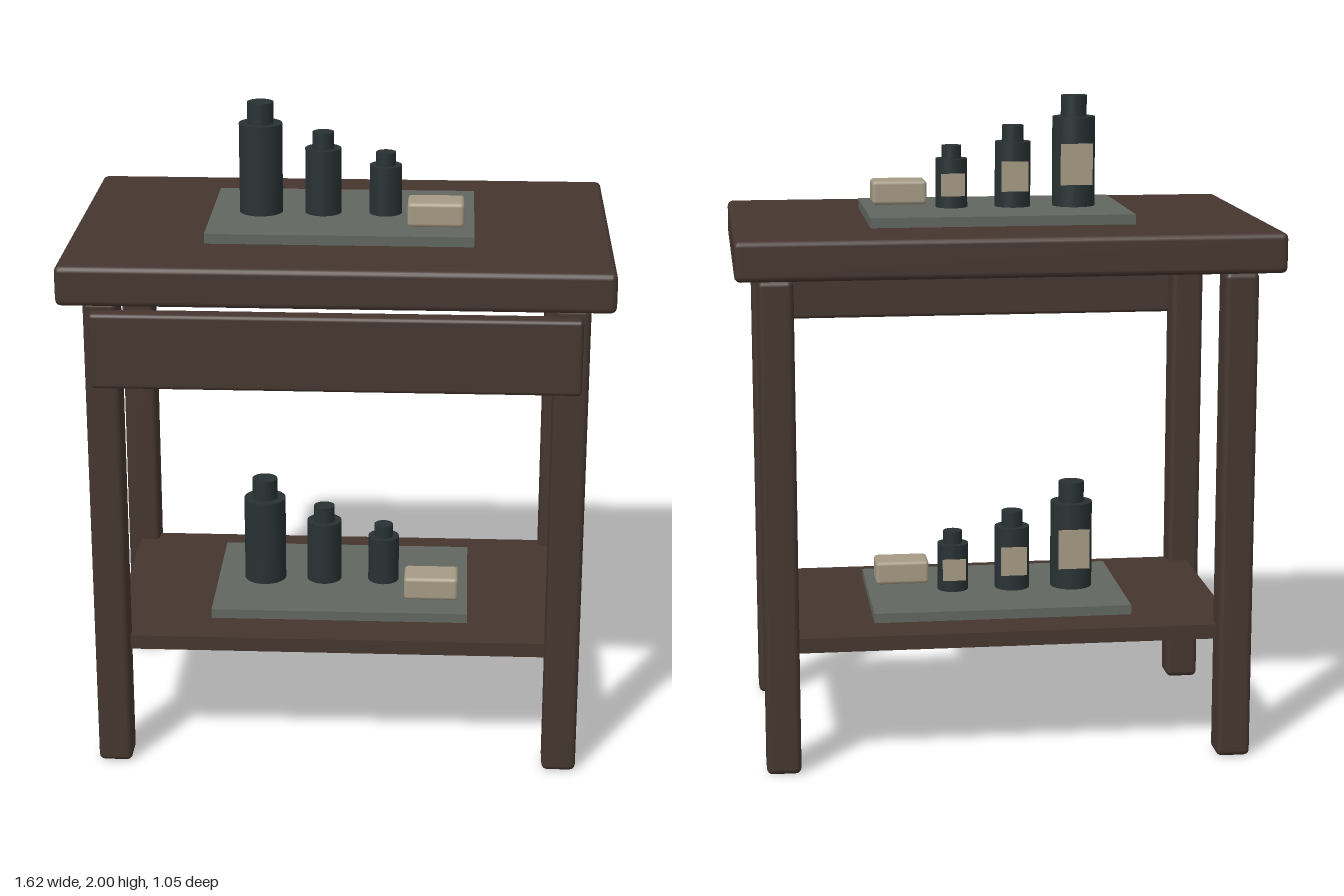
import * as THREE from 'three';
import { RoundedBoxGeometry } from 'three/addons/geometries/RoundedBoxGeometry.js';

export function createModel() {
  const material = (name, color) => {
    const m = new THREE.MeshStandardMaterial({ color });
    m.name = name;
    return m;
  };
  const wood = material('dark wood', 0x45362f);
  const slate = material('grey slate', 0x616660);
  const glass = material('dark bottle', 0x283132);
  const cream = material('cream', 0xa59a84);

  const add = (parent, name, geometry, mat, x, y, z) => {
    const mesh = new THREE.Mesh(geometry, mat);
    mesh.name = name;
    mesh.position.set(x, y, z);
    parent.add(mesh);
    return mesh;
  };
  const rounded = (w, h, d, r) => new RoundedBoxGeometry(w, h, d, 2, r);

  const model = new THREE.Group();
  model.name = 'sideTable';

  // Table frame
  add(model, 'tableTop', rounded(1.62, 0.12, 1.05, 0.018), wood, 0, 1.57, 0);
  for (const sx of [-1, 1]) {
    for (const sz of [-1, 1]) {
      add(model, 'leg', rounded(0.104, 1.505, 0.104, 0.018), wood, sx * 0.69, 0.7525, sz * 0.403);
    }
  }
  add(model, 'drawerFront', rounded(1.44, 0.23, 0.06, 0.012), wood, 0, 1.362, 0.46);
  add(model, 'shelf', new THREE.BoxGeometry(1.4, 0.045, 0.81), wood, 0, 0.388, 0);

  // Bottle: body, neck and a flat label on the back
  const addBottle = (parent, x, r, h, neckR, neckH) => {
    const bottle = new THREE.Group();
    bottle.name = 'bottle';
    bottle.position.set(x, 0.03, 0);
    parent.add(bottle);
    add(bottle, 'bottleBody', new THREE.CylinderGeometry(r, r, h, 32), glass, 0, h / 2, 0);
    add(bottle, 'bottleNeck', new THREE.CylinderGeometry(neckR, neckR, neckH, 32), glass, 0, h + neckH / 2, 0);
    add(bottle, 'bottleLabel', new THREE.BoxGeometry(r * 1.5, h * 0.46, 0.004), cream, 0, h * 0.48, -r - 0.001);
  };

  // The same tray arrangement stands on the top and on the shelf
  for (const y of [1.63, 0.41]) {
    const set = new THREE.Group();
    set.name = 'traySet';
    set.position.y = y;
    model.add(set);
    add(set, 'tray', new THREE.BoxGeometry(0.8, 0.03, 0.53), slate, 0, 0.015, 0);
    addBottle(set, -0.25, 0.066, 0.275, 0.04, 0.065);
    addBottle(set, -0.06, 0.055, 0.2, 0.033, 0.05);
    addBottle(set, 0.13, 0.049, 0.15, 0.03, 0.04);
    add(set, 'soapBar', rounded(0.17, 0.075, 0.11, 0.012), cream, 0.285, 0.0675, 0.113);
  }
  return model;
}
